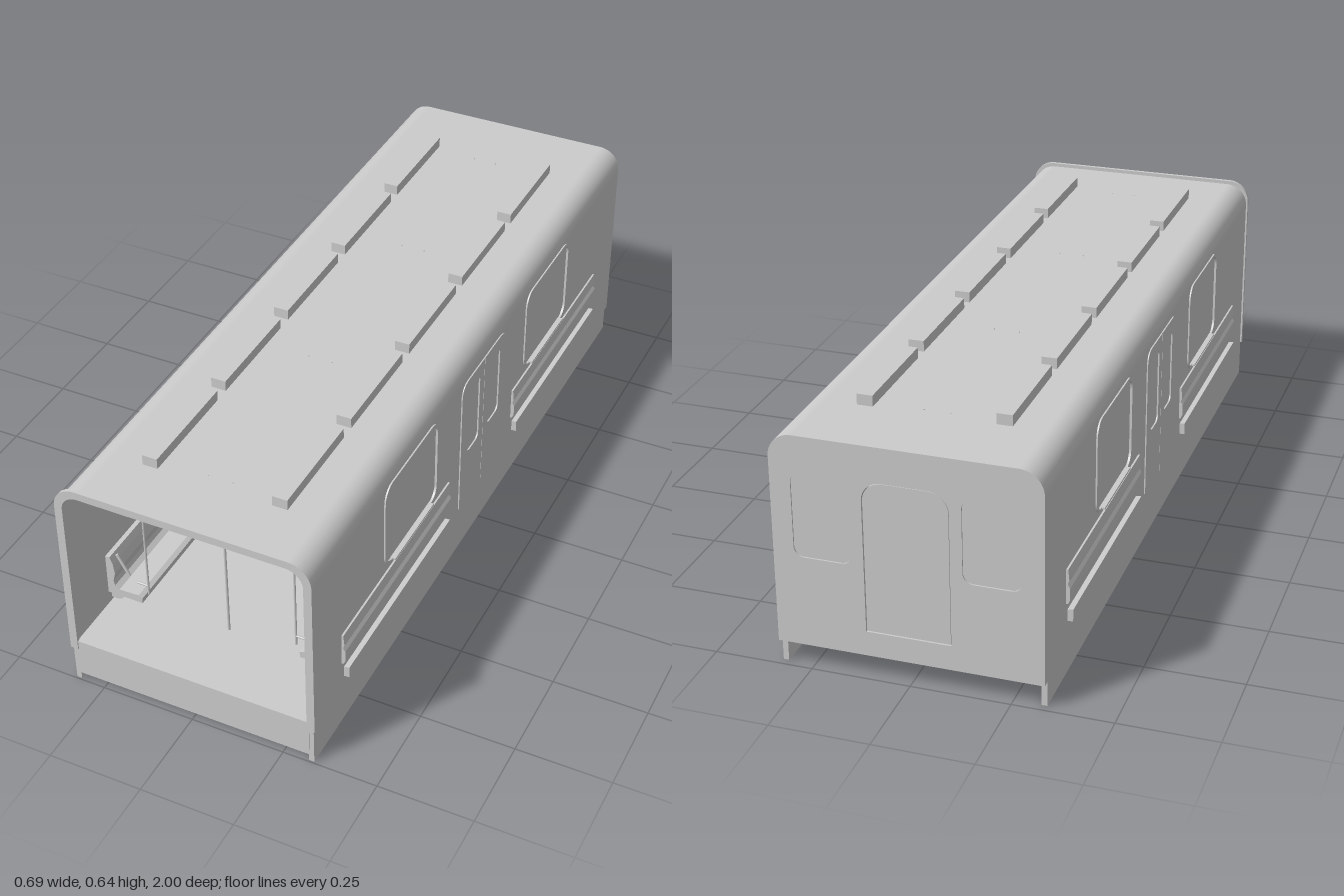
import * as THREE from 'three';

export function createModel() {
  const car = new THREE.Group();
  car.name = 'railCarriage';
  const mat = new THREE.MeshStandardMaterial({ color: 0xcccccc, side: THREE.DoubleSide });

  const add = (name, geo, x = 0, y = 0, z = 0) => {
    const m = new THREE.Mesh(geo, mat);
    m.name = name;
    m.position.set(x, y, z);
    car.add(m);
    return m;
  };
  const box = (name, x0, x1, y0, y1, z0, z1) =>
    add(name, new THREE.BoxGeometry(Math.abs(x1 - x0), y1 - y0, z1 - z0), (x0 + x1) / 2, (y0 + y1) / 2, (z0 + z1) / 2);
  const rod = (name, a, b, r = 0.003) => {
    const p = new THREE.Vector3(...a), q = new THREE.Vector3(...b);
    const m = add(name, new THREE.CylinderGeometry(r, r, p.distanceTo(q), 8));
    m.position.copy(p).add(q).multiplyScalar(0.5);
    m.quaternion.setFromUnitVectors(new THREE.Vector3(0, 1, 0), q.sub(p).normalize());
    return m;
  };
  // Rounded rectangle; rb and rt are the bottom and top corner radii
  const rounded = (x0, x1, y0, y1, rb, rt = rb, S = THREE.Shape) => {
    const s = new S();
    s.moveTo(x0 + rb, y0).lineTo(x1 - rb, y0);
    if (rb) s.absarc(x1 - rb, y0 + rb, rb, -Math.PI / 2, 0);
    s.lineTo(x1, y1 - rt);
    if (rt) s.absarc(x1 - rt, y1 - rt, rt, 0, Math.PI / 2);
    s.lineTo(x0 + rt, y1);
    if (rt) s.absarc(x0 + rt, y1 - rt, rt, Math.PI / 2, Math.PI);
    s.lineTo(x0, y0 + rb);
    if (rb) s.absarc(x0 + rb, y0 + rb, rb, Math.PI, Math.PI * 1.5);
    return s;
  };
  const cut = (shape, ...holes) => { shape.holes.push(...holes); return shape; };
  const extrude = (shape, depth) => new THREE.ExtrudeGeometry(shape, { depth, bevelEnabled: false, curveSegments: 8 });
  const endPlate = (name, shape, z0, z1) => add(name, extrude(shape, z1 - z0), 0, 0, z0);
  // Plate drawn in (z, y), spanning x = inner..outer on side s
  const sidePlate = (name, s, shape, inner, outer) =>
    add(name, extrude(shape, outer - inner).rotateY(-Math.PI / 2), s > 0 ? outer : -inner);
  const ring = (x0, x1, y0, y1, r, w) =>
    cut(rounded(x0, x1, y0, y1, r), rounded(x0 + w, x1 - w, y0 + w, y1 - w, r - w, r - w, THREE.Path));

  // Arch cross-section between an outer and an inner contour
  const arch = (ox, oy, ix, iy, y0, r) => {
    const s = new THREE.Shape();
    s.moveTo(ox, y0).lineTo(ox, oy - r).absarc(ox - r, oy - r, r, 0, Math.PI / 2);
    s.lineTo(r - ox, oy).absarc(r - ox, oy - r, r, Math.PI / 2, Math.PI);
    s.lineTo(-ox, y0).lineTo(-ix, y0);
    const q = r - 0.015;
    s.lineTo(-ix, iy - q).absarc(q - ix, iy - q, q, Math.PI, Math.PI / 2, true);
    s.lineTo(ix - q, iy).absarc(ix - q, iy - q, q, Math.PI / 2, 0, true);
    s.lineTo(ix, y0);
    return s;
  };

  // Roof, front rim, floor and front sill
  endPlate('roof', arch(0.332, 0.615, 0.318, 0.604, 0.554, 0.06), -1, 0.995);
  endPlate('frontRim', arch(0.337, 0.625, 0.316, 0.604, 0.105, 0.06), 0.99, 1);
  box('floor', -0.32, 0.32, 0.12, 0.13, -0.99, 0.995);
  box('frontSill', -0.32, 0.32, 0.022, 0.13, 0.985, 0.997);

  // Side walls with windows and sliding doors
  const bays = [0.45, -0.445];
  for (const s of [1, -1]) {
    const wall = new THREE.Shape();
    wall.moveTo(-0.98, 0).lineTo(0.995, 0).lineTo(0.995, 0.555).lineTo(-1, 0.555).lineTo(-1, 0.065).lineTo(-0.98, 0.065);
    cut(wall, rounded(-0.145, 0.145, 0.135, 0.54, 0.015, 0.04, THREE.Path),
      ...bays.map(z => rounded(z - 0.155, z + 0.155, 0.3, 0.548, 0.04, 0.04, THREE.Path)));
    sidePlate('sideWall', s, wall, 0.318, 0.332);
    for (const z of bays) {
      sidePlate('windowFrame', s, ring(z - 0.157, z + 0.157, 0.298, 0.55, 0.042, 0.008), 0.315, 0.336);
      sidePlate('windowPane', s, rounded(z - 0.155, z + 0.155, 0.3, 0.548, 0.04), 0.322, 0.33);
      box('windowSill', s * 0.312, s * 0.344, 0.302, 0.307, z - 0.115, z + 0.115);
    }
    for (const d of [1, -1]) {
      const z0 = d > 0 ? 0.001 : -0.144, z1 = z0 + 0.143, c = d * 0.067;
      const leaf = new THREE.Shape();
      leaf.moveTo(d * 0.001, 0.136).lineTo(d * 0.144, 0.136).lineTo(d * 0.144, 0.5);
      leaf.quadraticCurveTo(d * 0.144, 0.539, d * 0.105, 0.539).lineTo(d * 0.001, 0.539);
      cut(leaf, rounded(c - 0.038, c + 0.038, 0.3, 0.505, 0.018, 0.018, THREE.Path));
      sidePlate('doorLeaf', s, leaf, 0.32, 0.335);
      sidePlate('doorPane', s, rounded(c - 0.038, c + 0.038, 0.3, 0.505, 0.018), 0.325, 0.331);
    }
  }

  // End wall with two windows and a central door
  const end = rounded(-0.332, 0.332, 0.065, 0.615, 0, 0.06);
  cut(end, rounded(-0.106, 0.106, 0.13, 0.525, 0, 0.05, THREE.Path),
    ...[1, -1].map(s => rounded(s * 0.208 - 0.076, s * 0.208 + 0.076, 0.298, 0.523, 0.03, 0.03, THREE.Path)));
  endPlate('endWall', end, -1, -0.985);
  for (const s of [1, -1]) {
    const x = s * 0.208;
    endPlate('endWindowFrame', ring(x - 0.078, x + 0.078, 0.296, 0.525, 0.032, 0.006), -1.0, -0.982);
    endPlate('endWindowPane', rounded(x - 0.076, x + 0.076, 0.298, 0.523, 0.03), -0.996, -0.989);
  }
  endPlate('endDoor', rounded(-0.104, 0.104, 0.132, 0.523, 0, 0.049), -0.998, -0.986);
  endPlate('endDoorHandle', ring(-0.02, 0.02, 0.315, 0.346, 0.012, 0.004), -0.987, -0.978);

  // Roof light boxes, showing above and below the ceiling
  for (const s of [1, -1])
    for (let i = 0; i < 5; i++) {
      const z = 0.685 - i * 0.335;
      box('lightHousing', s * 0.152, s * 0.192, 0.604, 0.643, z - 0.147, z + 0.147);
      endPlate('lightDiffuser', rounded(s * 0.172 - 0.02, s * 0.172 + 0.02, 0.59, 0.606, 0.01, 0), z - 0.147, z + 0.147);
    }

  // Benches: cushion and backrest profile, with the base box beneath
  const seatPoints = [[0.22, 0.166], [0.219, 0.182], [0.23, 0.188], [0.285, 0.186], [0.297, 0.195], [0.3, 0.21],
    [0.294, 0.235], [0.298, 0.265], [0.306, 0.285], [0.337, 0.285], [0.34, 0.255], [0.336, 0.245],
    [0.342, 0.235], [0.342, 0.205], [0.337, 0.193], [0.318, 0.193], [0.318, 0.166]];
  const benchZ = [0.53, -0.525];
  for (const s of [1, -1])
    for (const z of benchZ) {
      const a = z - 0.313, b = z + 0.313;
      endPlate('benchSeat', new THREE.Shape(seatPoints.map(([x, y]) => new THREE.Vector2(s * x, y))), a, b);
      box('benchSupport', s * 0.228, s * 0.318, 0.167, 0.174, a, b);
      const base = new THREE.Shape();
      base.moveTo(s * 0.28, 0.167).lineTo(s * 0.346, 0.172).lineTo(s * 0.346, 0.14).lineTo(s * 0.3, 0.138);
      base.quadraticCurveTo(s * 0.28, 0.142, s * 0.28, 0.167);
      endPlate('benchBase', base, z - 0.3, z + 0.3);
      // Shelf above the bench with its hangers
      box('luggageShelf', s * 0.228, s * 0.32, 0.514, 0.518, a, b);
      for (const e of [a + 0.01, b - 0.01]) {
        rod('grabPole', [s * 0.205, 0.195, e], [s * 0.205, 0.495, e]);
        rod('grabPoleBracket', [s * 0.205, 0.222, e], [s * 0.235, 0.222, e]);
        rod('armrest', [s * 0.257, 0.235, e], [s * 0.29, 0.293, e], 0.004);
        rod('ceilingHanger', [s * 0.228, 0.545, e], [s * 0.228, 0.606, e]);
      }
    }

  // Centre poles with their ceiling brackets
  for (const z of [-0.78, -0.28, 0.28, 0.8]) {
    rod('centrePole', [0, 0.118, z], [0, 0.606, z], 0.0035);
    rod('poleCollar', [0, 0.578, z], [0, 0.584, z], 0.007);
    rod('poleCrossbar', [-0.1, 0.602, z], [0.1, 0.602, z], 0.002);
    for (const s of [1, -1]) rod('poleBracket', [s * 0.033, 0.577, z], [s * 0.033, 0.617, z], 0.002);
  }
  return car;
}
